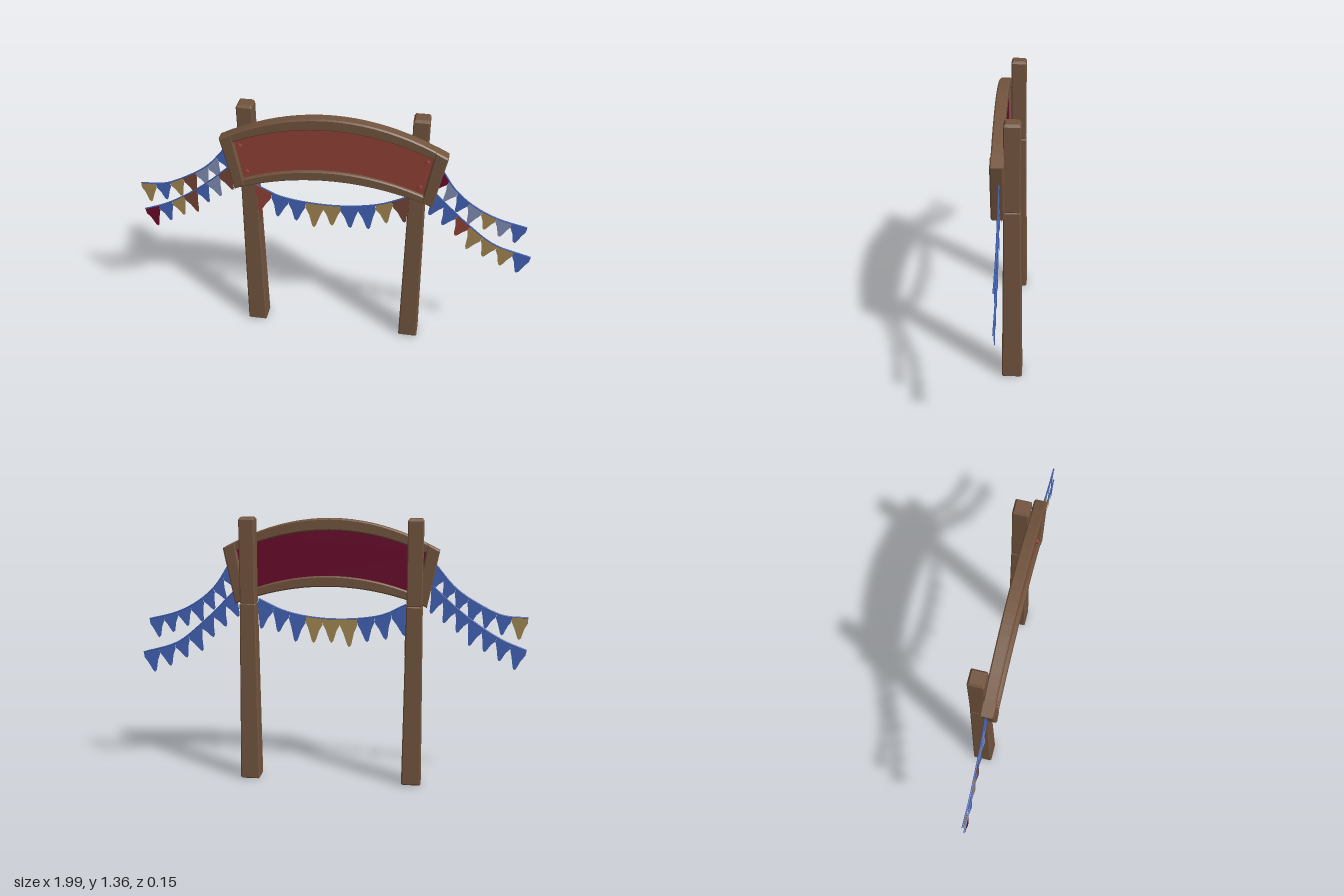
import * as THREE from 'three';

const mat = (name, color) => {
  const m = new THREE.MeshStandardMaterial({ color });
  m.name = name;
  return m;
};

export function createModel() {
  const wood = mat('wood', 0x72543e), red = mat('red cloth', 0x914136);
  const maroon = mat('maroon', 0x690a2c), blue = mat('blue', 0x4262b5);
  const tan = mat('tan', 0xa28652), grey = mat('pale blue grey', 0x808db2);
  const brown = mat('reddish brown', 0x744536);
  const root = new THREE.Group();

  const add = (name, geometry, material, parent = root) => {
    const mesh = new THREE.Mesh(geometry, material);
    mesh.name = name;
    parent.add(mesh);
    return mesh;
  };
  const toShape = pts => new THREE.Shape(pts.map(p => new THREE.Vector2(p[0], p[1])));
  // Bevelled slab between two depths
  const slab = (pts, z0, z1, bevel) => {
    const g = new THREE.ExtrudeGeometry(toShape(pts), {
      depth: z1 - z0 - 2 * bevel, bevelEnabled: bevel > 0, bevelThickness: bevel,
      bevelSize: bevel, bevelOffset: -bevel, bevelSegments: 1,
    });
    return g.translate(0, 0, z0 + bevel);
  };

  // Posts: chamfered square timbers that narrow up to the sign
  const h = 0.05, c = 0.006;
  const section = [[-h + c, -h], [h - c, -h], [h, -h + c], [h, h - c],
    [h - c, h], [-h + c, h], [-h, h - c], [-h, -h + c]];
  for (const [name, x] of [['rightPost', -0.43], ['leftPost', 0.41]]) {
    const g = slab(section, 0, 0.93, 0.007).rotateX(-Math.PI / 2);
    const p = g.attributes.position;
    for (let i = 0; i < p.count; i++) {
      const top = p.getY(i) > 0.5;
      if (top) p.setXYZ(i, p.getX(i) * 0.8, p.getY(i), p.getZ(i) * 0.8);
    }
    g.computeVertexNormals();
    g.translate(x, 0, -0.02);
    add(name, g, wood);
    const head = slab(section, 0.92, 1.36, 0.012).rotateX(-Math.PI / 2).scale(0.78, 1, 0.78);
    add(name + 'Head', head.translate(x, 0, -0.02), wood);
  }
  // Faded paint patch inside one post
  add('paintPatch', new THREE.BoxGeometry(0.004, 0.17, 0.05).translate(-0.387, 0.76, -0.015), brown);

  // Arched sign outlines
  const outerTop = x => 1.353 - 0.51 * x * x;
  const innerTop = x => 1.294 - 0.47 * x * x;
  const innerBottom = x => 1.064 - 0.45 * x * x;
  const outerBottom = x => 1.01 - 0.4 * x * x;
  const arch = (low, high, wLow, wHigh, n = 20) => {
    const pts = [];
    for (let i = 0; i <= n; i++) {
      const x = wLow * (2 * i / n - 1);
      pts.push([x, low(x)]);
    }
    for (let i = n; i >= 0; i--) {
      const x = wHigh * (2 * i / n - 1);
      pts.push([x, high(x)]);
    }
    return pts;
  };

  // Frame beams and end boards
  const sign = new THREE.Group();
  sign.name = 'sign';
  root.add(sign);
  add('topBeam', slab(arch(innerTop, outerTop, 0.49, 0.53), 0.016, 0.072, 0.006), wood, sign);
  add('bottomBeam', slab(arch(outerBottom, innerBottom, 0.46, 0.47), 0.016, 0.072, 0.006), wood, sign);
  for (const s of [1, -1]) {
    const pts = [[0.49, 0.912], [0.549, 1.2], [0.487, 1.232], [0.437, 0.94]].map(p => [s * p[0], p[1]]);
    add('endBoard', slab(s > 0 ? pts : pts.reverse(), 0.012, 0.075, 0.007), wood, sign);
  }

  // Panel: red face, maroon reverse
  const panel = arch(x => innerBottom(x) - 0.015, x => innerTop(x) + 0.015, 0.46, 0.495);
  add('panelFront', new THREE.ShapeGeometry(toShape(panel)).translate(0, 0, 0.055), red, sign);
  add('panelBack', new THREE.ShapeGeometry(toShape(panel)).rotateY(Math.PI).translate(0, 0, 0.035), maroon, sign);

  // Tacks at the panel corners
  for (const s of [1, -1]) {
    for (const [x, y] of [[0.452, 1.16], [0.425, 1.015]]) {
      add('tack', new THREE.CylinderGeometry(0.011, 0.014, 0.012, 6)
        .rotateX(Math.PI / 2).translate(s * x, y, 0.06), red, sign);
    }
  }

  // Bunting: each flag has its own front and back colour
  const strand = (name, pts, colours, length, tanBacks = []) => {
    const group = new THREE.Group();
    group.name = name;
    root.add(group);
    const curve = new THREE.CatmullRomCurve3(pts.map(p => new THREE.Vector3(p[0], p[1], 0)));
    const n = colours.length;
    colours.forEach((colour, i) => {
      const a = curve.getPointAt(i / n), b = curve.getPointAt((i + 1) / n);
      const m = curve.getPointAt((i + 0.5) / n);
      const along = b.clone().sub(a);
      const down = new THREE.Vector3(along.y, -along.x, 0).normalize().multiplyScalar(0.5);
      down.y -= 0.5;
      down.normalize();
      const len = length * (1 + 0.1 * Math.sin(i * 2.3 + 1));
      // u runs across the flag, v down its length
      const at = (u, v) => {
        const p = a.clone().addScaledVector(along, u).addScaledVector(down, v * len);
        return [p.x, p.y];
      };
      const pts2 = [at(0, 0), at(0, 0.24), at(0.2, 0.5), at(0.38, 0.93), at(0.5, 1),
        at(0.6, 0.92), at(0.82, 0.5), at(1, 0.24), at(1, 0), [m.x, m.y]];
      const front = new THREE.ShapeGeometry(toShape(pts2)).translate(0, 0, 0.037);
      const back = new THREE.ShapeGeometry(toShape(pts2)).translate(0, 0, 0.033);
      const order = back.index.array;
      for (let k = 0; k < order.length; k += 3) [order[k], order[k + 1]] = [order[k + 1], order[k]];
      back.computeVertexNormals();
      add('flagFront', front, colour, group);
      add('flagBack', back, tanBacks.includes(i) ? tan : blue, group);
    });
    add(name + 'Cord', new THREE.TubeGeometry(curve, 24, 0.004, 5).translate(0, 0, 0.035), blue, group);
  };

  strand('centreBunting', [[-0.385, 0.925], [-0.26, 0.867], [0, 0.843], [0.22, 0.875], [0.37, 0.94]],
    [red, blue, blue, tan, tan, blue, blue, tan, brown], 0.135, [3, 4, 5]);
  strand('rightUpperBunting', [[-0.992, 0.87], [-0.87, 0.88], [-0.74, 0.94], [-0.63, 1.015], [-0.53, 1.13]],
    [tan, blue, tan, brown, grey, grey, blue], 0.105, [0]);
  strand('rightLowerBunting', [[-0.992, 0.705], [-0.87, 0.755], [-0.74, 0.835], [-0.63, 0.92], [-0.52, 1.02]],
    [maroon, blue, tan, brown, blue, grey, brown], 0.11);
  strand('leftUpperBunting', [[0.52, 1.12], [0.6, 1.0], [0.7, 0.915], [0.81, 0.86], [0.955, 0.822]],
    [maroon, grey, blue, grey, tan, grey, blue], 0.1);
  strand('leftLowerBunting', [[0.49, 0.985], [0.57, 0.905], [0.68, 0.8], [0.81, 0.7], [0.995, 0.642]],
    [blue, blue, red, tan, tan, tan, blue], 0.11);

  return root;
}
